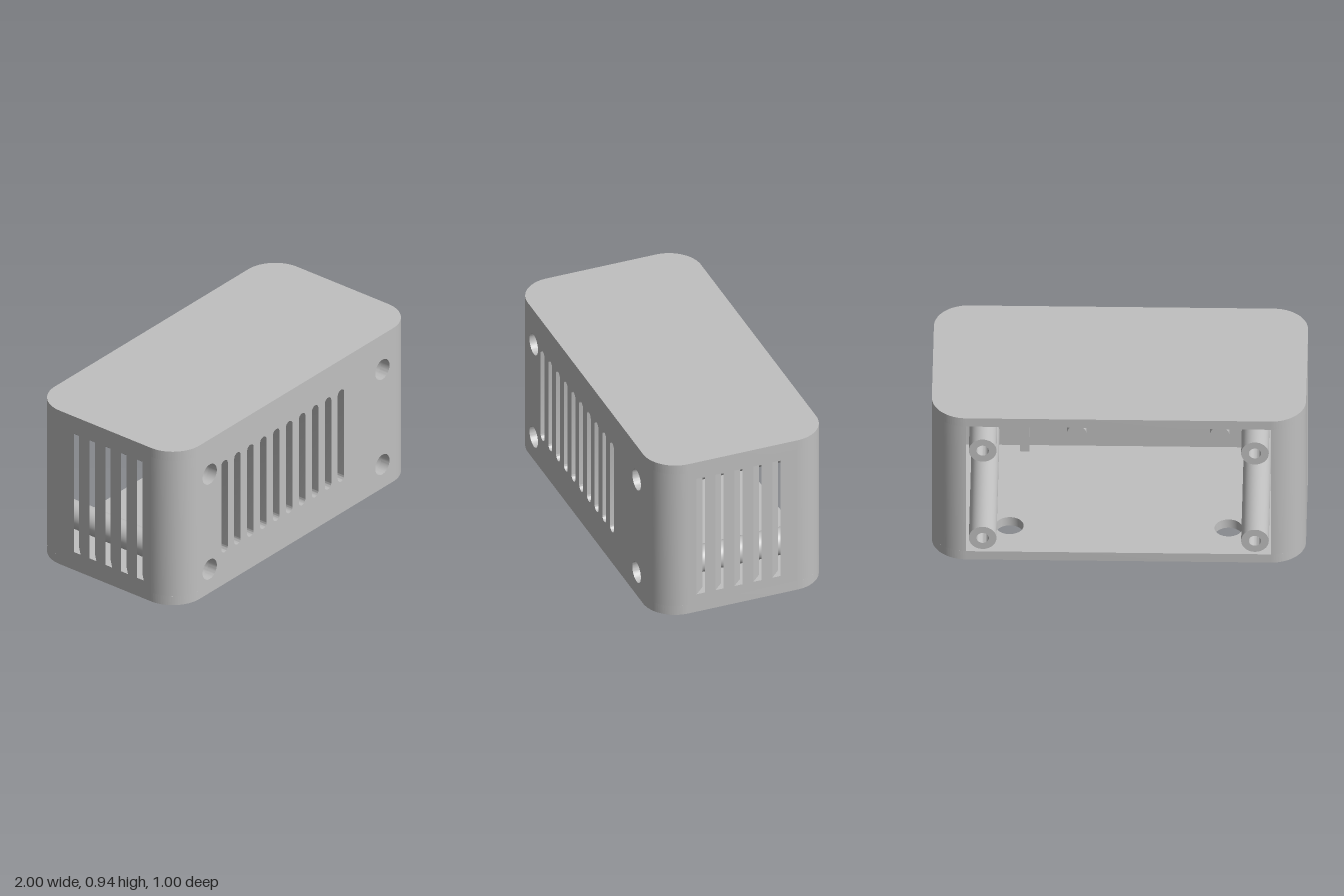
import * as THREE from 'three';
import { toCreasedNormals } from 'three/addons/utils/BufferGeometryUtils.js';

const H = 0.945, T = 0.055;            // height, wall thickness
const CX = 0.815, CZ = 0.315, R = 0.185; // corner centres and radius
const Y0 = T, Y1 = H - T;              // inside floor and ceiling

export function createModel() {
  const model = new THREE.Group();
  const grey = new THREE.MeshStandardMaterial({ color: 0xc0c0c0 });
  grey.name = 'casing grey';

  const add = (name, geometry) => {
    const mesh = new THREE.Mesh(toCreasedNormals(geometry, 0.5), grey);
    mesh.name = name;
    model.add(mesh);
    return mesh;
  };
  const extrude = (shape, depth) =>
    new THREE.ExtrudeGeometry(shape, { depth, bevelEnabled: false, curveSegments: 24 });
  // Plan outline (x, -z) raised from y = a to y = b
  const slab = (name, shape, a, b) =>
    add(name, extrude(shape, b - a).rotateX(-Math.PI / 2).translate(0, a, 0));
  const polygon = (pts) => new THREE.Shape(pts.map(([x, z]) => new THREE.Vector2(x, -z)));
  const circle = (x, y, r) => new THREE.Path().absarc(x, y, r, 0, Math.PI * 2, true);

  // Floor and roof plates
  const plate = () => {
    const s = new THREE.Shape();
    s.absarc(CX, CZ, R, 0, Math.PI / 2);
    s.absarc(-CX, CZ, R, Math.PI / 2, Math.PI);
    s.absarc(-CX, -CZ, R, Math.PI, Math.PI * 1.5);
    s.absarc(CX, -CZ, R, Math.PI * 1.5, Math.PI * 2);
    return s;
  };
  const floor = plate();
  for (const s of [1, -1]) floor.holes.push(circle(s * 0.585, 0.27, 0.075));
  slab('floor', floor, 0, T);
  slab('roof', plate(), Y1, H);

  // Rounded corner walls
  for (const sx of [1, -1]) for (const sz of [1, -1]) {
    const outer = [], inner = [];
    for (let i = 0; i <= 20; i++) {
      const a = (i / 20) * Math.PI / 2, c = Math.cos(a), s = Math.sin(a);
      outer.push([sx * (CX + R * c), sz * (CZ + R * s)]);
      inner.unshift([sx * (CX + (R - T) * c), sz * (CZ + (R - T) * s)]);
    }
    slab('cornerWall', polygon([...outer, ...inner]), Y0, Y1);
  }

  // Side walls with five slots cut at a slant
  const slotLow = 0.11, slotHigh = 0.84, slotWidth = 0.047, pitch = 0.109;
  for (const s of [1, -1]) {
    const strip = (name, o0, o1, i0, i1, a, b) =>
      slab(name, polygon([[s, o0], [s, o1], [s * (1 - T), i1], [s * (1 - T), i0]]), a, b);
    strip('sideWallLower', CZ, -CZ, CZ, -CZ, Y0, slotLow);
    strip('sideWallUpper', CZ, -CZ, CZ, -CZ, slotHigh, Y1);
    let o = CZ, i = CZ;
    for (let k = 0; k < 5; k++) {
      const z = 0.242 - k * pitch + slotWidth / 2;
      strip('sideLouvre', o, z, i, z - T, slotLow, slotHigh);
      o = z - slotWidth;
      i = o - T;
    }
    strip('sideLouvre', o, -CZ, i, -CZ, slotLow, slotHigh);
  }

  // Front wall with ten round-ended slots and four screw holes
  const front = new THREE.Shape([[-CX, Y0], [CX, Y0], [CX, Y1], [-CX, Y1]]
    .map(([x, y]) => new THREE.Vector2(x, y)));
  for (let k = 0; k < 10; k++) {
    const x = -0.605 + k * pitch, r = 0.0275;
    const slot = new THREE.Path();
    slot.absarc(x, 0.76 - r, r, 0, Math.PI);
    slot.absarc(x, 0.195 + r, r, Math.PI, Math.PI * 2);
    front.holes.push(slot);
  }
  const posts = [];
  for (const x of [-0.73, 0.725]) for (const y of [0.145, 0.73]) posts.push([x, y]);
  for (const [x, y] of posts) front.holes.push(circle(x, y, 0.06));
  add('frontWall', extrude(front, T).translate(0, 0, 0.5 - T));

  // Hollow screw posts, stepped to a narrow hole at the back
  const profile = [[0.074, -0.5], [0.074, 0.445], [0.06, 0.445], [0.06, -0.39],
    [0.033, -0.39], [0.033, -0.5], [0.074, -0.5]].map(([r, y]) => new THREE.Vector2(r, y));
  for (const [x, y] of posts) {
    add('screwPost', new THREE.LatheGeometry(profile, 40).rotateX(Math.PI / 2).translate(x, y, 0));
  }

  // Short mounting pegs and a rib behind the front wall
  for (const x of [-0.527, 0.237]) for (const y of [0.238, 0.709]) {
    add('mountingPeg', new THREE.CylinderGeometry(0.052, 0.052, 0.135, 32)
      .rotateX(Math.PI / 2).translate(x, y, 0.3775));
  }
  add('innerRib', new THREE.BoxGeometry(0.05, 0.715, 0.135).translate(0.515, 0.4725, 0.3775));

  return model;
}
